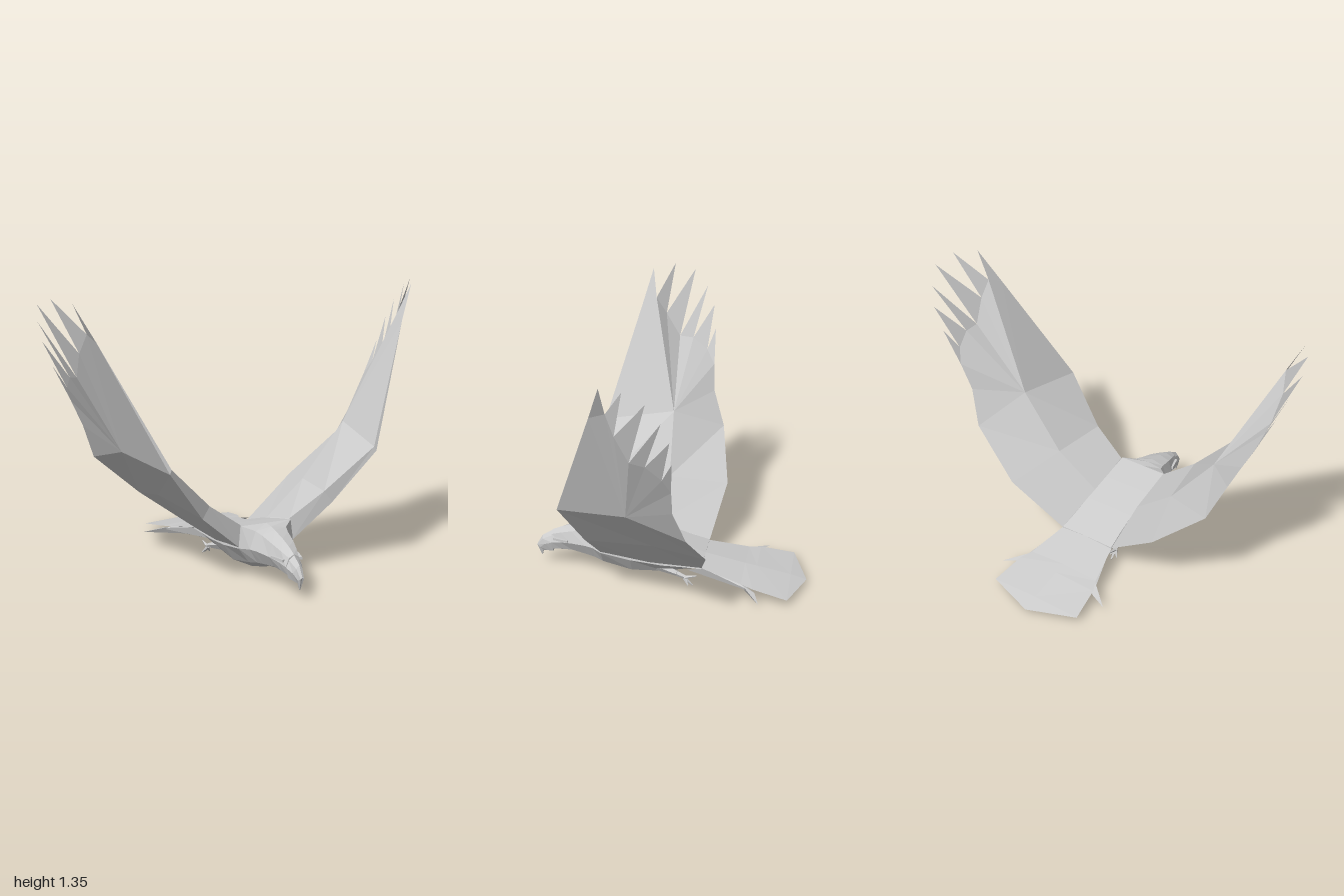
import * as THREE from 'three';
import { ConvexGeometry } from 'three/addons/geometries/ConvexGeometry.js';

const plumage = new THREE.MeshStandardMaterial({ color: 0xcccccc, flatShading: true, side: THREE.DoubleSide });
plumage.name = 'plumageGrey';

function add(parent, name, geometry) {
  const mesh = new THREE.Mesh(geometry, plumage);
  mesh.name = name;
  parent.add(mesh);
  return mesh;
}

// Flat triangles; each is turned to face its reference direction when one is given
function facets(tris) {
  const pos = [];
  for (const [a, b, c, ref] of tris) {
    const [A, B, C] = [a, b, c].map(p => new THREE.Vector3(...p));
    const n = B.clone().sub(A).cross(C.clone().sub(A));
    const list = ref && n.dot(new THREE.Vector3(...ref)) < 0 ? [A, C, B] : [A, B, C];
    for (const p of list) pos.push(p.x, p.y, p.z);
  }
  const g = new THREE.BufferGeometry();
  g.setAttribute('position', new THREE.Float32BufferAttribute(pos, 3));
  g.computeVertexNormals();
  return g;
}

// Loft through closed rings, running from front to back
function loft(rings) {
  const tris = [], n = rings[0].length;
  for (let i = 0; i < rings.length - 1; i++) {
    for (let j = 0; j < n; j++) {
      const k = (j + 1) % n, A = rings[i], B = rings[i + 1];
      tris.push([A[j], A[k], B[j]], [A[k], B[k], B[j]]);
    }
  }
  for (const [ring, s] of [[rings[0], 1], [rings[rings.length - 1], -1]])
    for (let j = 1; j < n - 1; j++) tris.push([ring[0], ring[j], ring[j + 1], [0, 0, s]]);
  return facets(tris);
}

// Eight-sided symmetric ring, anticlockwise from the top as seen from the front
function ring([z, top, shY, shW, midY, midW, lowY, lowW, bottom]) {
  return [[0, top, z], [-shW, shY, z], [-midW, midY, z], [-lowW, lowY, z],
    [0, bottom, z], [lowW, lowY, z], [midW, midY, z], [shW, shY, z]];
}

// Tapered limb between two points
function limb(parent, name, a, b, r0, r1) {
  const A = new THREE.Vector3(...a), B = new THREE.Vector3(...b), d = B.clone().sub(A);
  const m = add(parent, name, new THREE.CylinderGeometry(r1, r0, d.length(), 5));
  m.position.copy(A).add(B).multiplyScalar(0.5);
  m.quaternion.setFromUnitVectors(new THREE.Vector3(0, 1, 0), d.normalize());
}

// Wing: arm panels, then a hand fanning out into six spread feathers
function wing(side, tipShift) {
  const P = (x, y, z) => [side * x, y, z + tipShift * Math.max(0, (y - 0.62) / 0.7)];
  const up = [-0.75 * side, 0.65, 0], down = [0.75 * side, -0.65, 0], front = [0, -0.1, 1];
  const tris = [];
  const quad = (a, b, c, d, ref) => tris.push([a, b, c, ref], [a, c, d, ref]);

  // stations: upper leading edge, upper middle, trailing edge, lower middle, lower leading edge
  const stations = [
    [P(0.13, 0.275, 0.32), P(0.13, 0.215, 0.08), P(0.15, 0.13, -0.18), P(0.14, 0.13, 0.08), P(0.13, 0.16, 0.33)],
    [P(0.3, 0.395, 0.35), P(0.34, 0.385, 0.06), P(0.42, 0.33, -0.235), P(0.42, 0.38, 0.02), P(0.34, 0.34, 0.36)],
    [P(0.52, 0.61, 0.435), P(0.56, 0.66, 0.07), P(0.67, 0.55, -0.18), P(0.63, 0.63, 0.1), P(0.53, 0.59, 0.44)],
  ];
  for (let i = 0; i < 2; i++) {
    const A = stations[i], B = stations[i + 1];
    for (let j = 0; j < 5; j++) {
      const k = (j + 1) % 5;
      quad(A[j], B[j], B[k], A[k], j < 2 ? up : j < 4 ? down : front);
    }
  }

  const [lead, upperMid, trail, lowerMid, leadLow] = stations[2];
  const tips = [[0.89, 1.34, 0.15], [0.955, 1.355, 0.04], [0.985, 1.32, -0.06],
    [0.965, 1.235, -0.12], [0.935, 1.14, -0.15], [0.885, 1.02, -0.15]].map(p => P(...p));
  const notches = [[0.8, 1.17, 0.215], [0.82, 1.2, 0.14], [0.84, 1.11, 0.1], [0.83, 0.99, 0.04],
    [0.84, 0.98, -0.03], [0.83, 0.92, -0.1], [0.8, 0.85, -0.135]].map(p => P(...p));
  const rim = [...notches, P(0.74, 0.72, -0.13), trail];
  for (const [mid, start, ref] of [[upperMid, lead, up], [lowerMid, leadLow, down]]) {
    const edge = [start, ...rim];
    for (let i = 0; i < edge.length - 1; i++) tris.push([mid, edge[i], edge[i + 1], ref]);
    tips.forEach((t, i) => tris.push([notches[i], t, notches[i + 1], ref]));
  }
  tris.push([lead, leadLow, notches[0], front]);
  return facets(tris);
}

export function createModel() {
  const bird = new THREE.Group();
  bird.name = 'bird';

  // Head and body
  add(bird, 'body', loft([
    [0.61, 0.2, 0.185, 0.025, 0.145, 0.042, 0.105, 0.03, 0.088],
    [0.56, 0.222, 0.205, 0.04, 0.155, 0.052, 0.11, 0.035, 0.09],
    [0.5, 0.242, 0.225, 0.055, 0.165, 0.072, 0.115, 0.045, 0.094],
    [0.42, 0.262, 0.245, 0.068, 0.17, 0.095, 0.105, 0.06, 0.088],
    [0.38, 0.268, 0.255, 0.08, 0.17, 0.11, 0.1, 0.07, 0.078],
    [0.33, 0.272, 0.272, 0.13, 0.165, 0.145, 0.09, 0.09, 0.055],
    [0.18, 0.24, 0.238, 0.13, 0.14, 0.15, 0.06, 0.1, 0.012],
    [0.02, 0.2, 0.196, 0.135, 0.125, 0.15, 0.065, 0.095, 0.026],
    [-0.09, 0.165, 0.16, 0.14, 0.125, 0.15, 0.085, 0.09, 0.06],
    [-0.18, 0.137, 0.132, 0.148, 0.122, 0.15, 0.1, 0.1, 0.085],
  ].map(ring)));

  // Hooked beak: top z, bottom z, top, bottom, half width
  add(bird, 'beak', loft([
    [0.672, 0.668, 0.055, 0.05, 0.003], [0.692, 0.66, 0.115, 0.08, 0.014],
    [0.662, 0.635, 0.165, 0.084, 0.026], [0.605, 0.605, 0.2, 0.088, 0.042],
  ].map(([zt, zb, t, b, w]) => {
    const z = (zt + zb) / 2, y = (t + b) / 2;
    return [[0, t, zt], [-w * 0.6, t * 0.8 + b * 0.2, zt], [-w, y, z], [-w * 0.6, b, zb],
      [w * 0.6, b, zb], [w, y, z], [w * 0.6, t * 0.8 + b * 0.2, zt]];
  })));

  // Tail fan with a shallow ridge: z, half width, top, edge, bottom
  add(bird, 'tail', loft([
    [-0.17, 0.148, 0.139, 0.13, 0.085], [-0.38, 0.195, 0.095, 0.083, 0.048],
    [-0.44, 0.222, 0.084, 0.074, 0.042], [-0.61, 0.245, 0.05, 0.042, 0.032],
  ].map(([z, w, t, e, b]) => [[0, t, z], [-w, e, z], [0, b, z], [w, e, z]])));
  const tailEnd = [0, 0.028, -0.69];
  const edge = s => [s * 0.245, 0.042, -0.61];
  add(bird, 'tailTip', facets([-1, 1].flatMap(s => [
    [[0, 0.05, -0.61], edge(s), tailEnd, [0, 1, 0]],
    [[0, 0.032, -0.61], edge(s), tailEnd, [0, -1, 0]],
  ])));

  for (const s of [-1, 1]) {
    const label = s > 0 ? 'left' : 'right';
    add(bird, label + 'Wing', wing(s, s > 0 ? 0 : 0.085));

    // Brow over the eye
    const brow = add(bird, label + 'Brow', new THREE.BoxGeometry(0.014, 0.012, 0.08));
    brow.position.set(s * 0.054, 0.17, 0.555);
    brow.rotation.y = s * -0.25;

    // Pointed feathers beneath the tail
    const pts = list => list.map(([x, y, z]) => new THREE.Vector3(s * x, y, z));
    const p = [0.195, 0.08, -0.385], q = [0.225, 0.058, -0.45], d = [0.12, 0.04, -0.36];
    add(bird, label + 'UnderTail', new ConvexGeometry(pts([[0.147, 0.125, -0.19], [0.1, 0.085, -0.1], [0.09, 0.09, -0.3], p, q, d])));
    add(bird, label + 'UnderTailPoint', new ConvexGeometry(pts([p, q, d, [0.305, 0.04, -0.477]])));

    // Tucked leg with claws
    const leg = new THREE.Group();
    leg.name = label + 'Leg';
    bird.add(leg);
    limb(leg, 'thigh', [s * 0.09, 0.095, 0.05], [s * 0.11, 0.066, -0.05], 0.028, 0.014);
    limb(leg, 'shank', [s * 0.11, 0.066, -0.05], [s * 0.115, 0.048, -0.1], 0.014, 0.01);
    for (const x of [-0.02, 0, 0.02])
      limb(leg, 'toe', [s * 0.115, 0.046, -0.09], [s * 0.115 + x, 0.008 + Math.abs(x) * 0.4, -0.13 + Math.abs(x)], 0.01, 0.003);
    limb(leg, 'backToe', [s * 0.115, 0.048, -0.09], [s * 0.115, 0.062, -0.15], 0.01, 0.003);
  }
  return bird;
}
